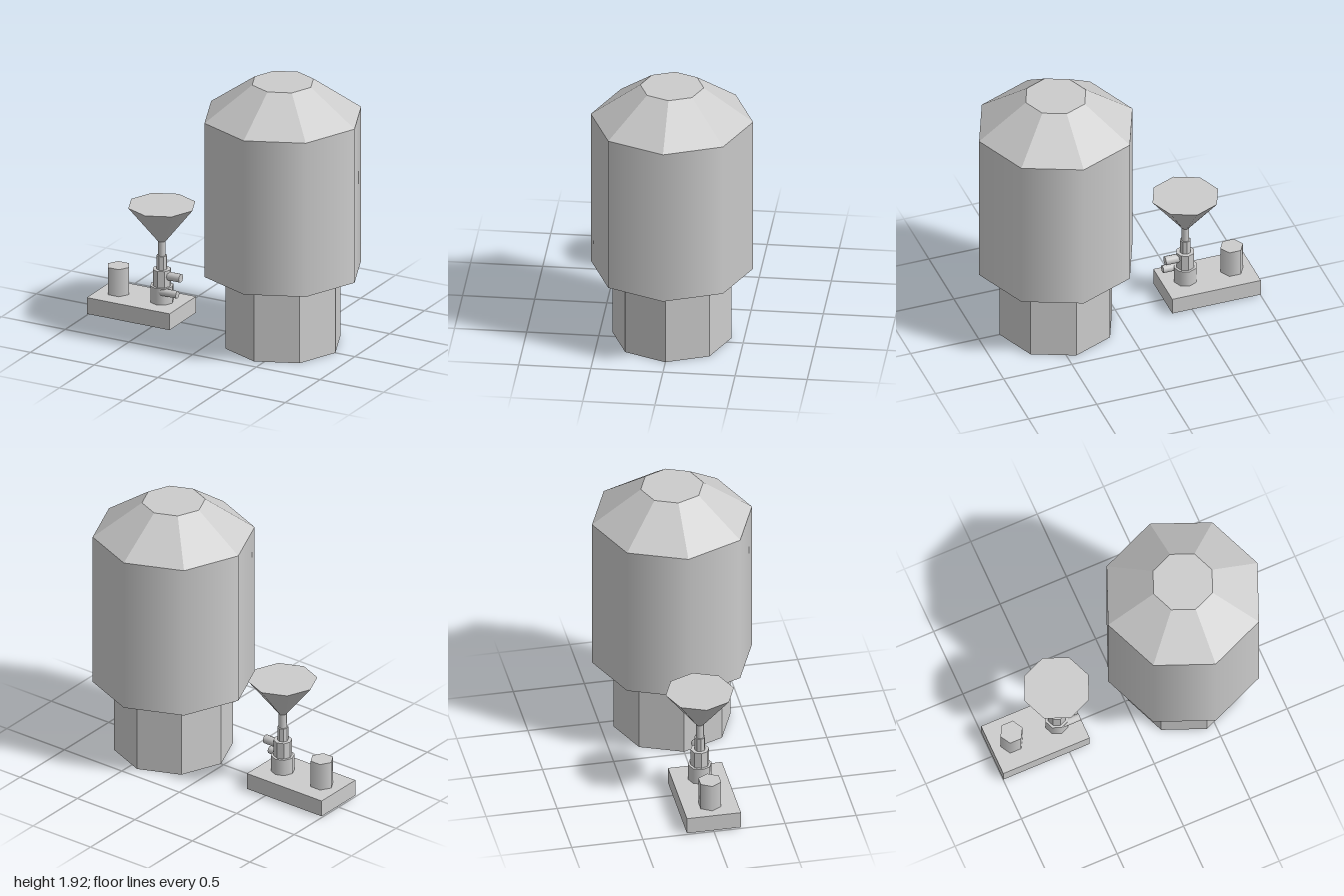
import * as THREE from 'three';

const smooth = new THREE.MeshStandardMaterial({ color: 0xcccccc });
const faceted = new THREE.MeshStandardMaterial({ color: 0xcccccc, flatShading: true });

// Upright prism or frustum between two heights, centred on its own axis
function drum(name, rBottom, rTop, y0, y1, material, sides = 8) {
  const geometry = new THREE.CylinderGeometry(rTop, rBottom, y1 - y0, sides);
  const mesh = new THREE.Mesh(geometry, material);
  mesh.name = name;
  mesh.position.y = (y0 + y1) / 2;
  return mesh;
}

// Short pipe running along +x
function pipe(name, radius, x0, x1, y, z) {
  const geometry = new THREE.CylinderGeometry(radius, radius, x1 - x0, 8);
  geometry.rotateZ(-Math.PI / 2);
  const mesh = new THREE.Mesh(geometry, smooth);
  mesh.name = name;
  mesh.position.set((x0 + x1) / 2, y, z);
  return mesh;
}

export function createModel() {
  const model = new THREE.Group();

  // Large storage tank on its plinth
  const tank = new THREE.Group();
  tank.name = 'tank';
  tank.position.x = 0.435;
  tank.add(
    drum('tankPlinth', 0.4125, 0.4125, 0, 0.5, faceted),
    drum('tankUnderside', 0.4125, 0.5625, 0.495, 0.545, faceted),
    drum('tankBody', 0.5625, 0.5625, 0.545, 1.68, smooth),
    drum('tankRoof', 0.5625, 0.22, 1.68, 1.925, faceted),
  );

  // Small pump station beside the tank
  const station = new THREE.Group();
  station.name = 'pumpStation';
  const slab = new THREE.Mesh(new THREE.BoxGeometry(0.65, 0.12, 0.38), faceted);
  slab.name = 'baseSlab';
  slab.position.set(-0.675, 0.07, 0);

  const canister = drum('canister', 0.083, 0.083, 0.13, 0.33, smooth, 6);
  canister.position.x = -0.855;
  canister.rotation.y = Math.PI / 6;

  // Stepped column carrying the funnel
  const column = new THREE.Group();
  column.name = 'funnelColumn';
  column.position.x = -0.515;
  column.add(
    drum('columnFoot', 0.083, 0.083, 0.13, 0.25, smooth),
    drum('columnBlock', 0.065, 0.065, 0.25, 0.37, faceted),
    drum('columnCollar', 0.038, 0.038, 0.37, 0.47, faceted),
    drum('funnelStem', 0.028, 0.028, 0.47, 0.58, smooth),
    drum('funnel', 0.028, 0.24, 0.575, 0.84, smooth),
    pipe('upperPipe', 0.032, 0, 0.15, 0.325, 0),
    pipe('lowerPipe', 0.028, 0, 0.15, 0.22, 0.05),
  );

  station.add(slab, canister, column);
  model.add(tank, station);
  return model;
}
